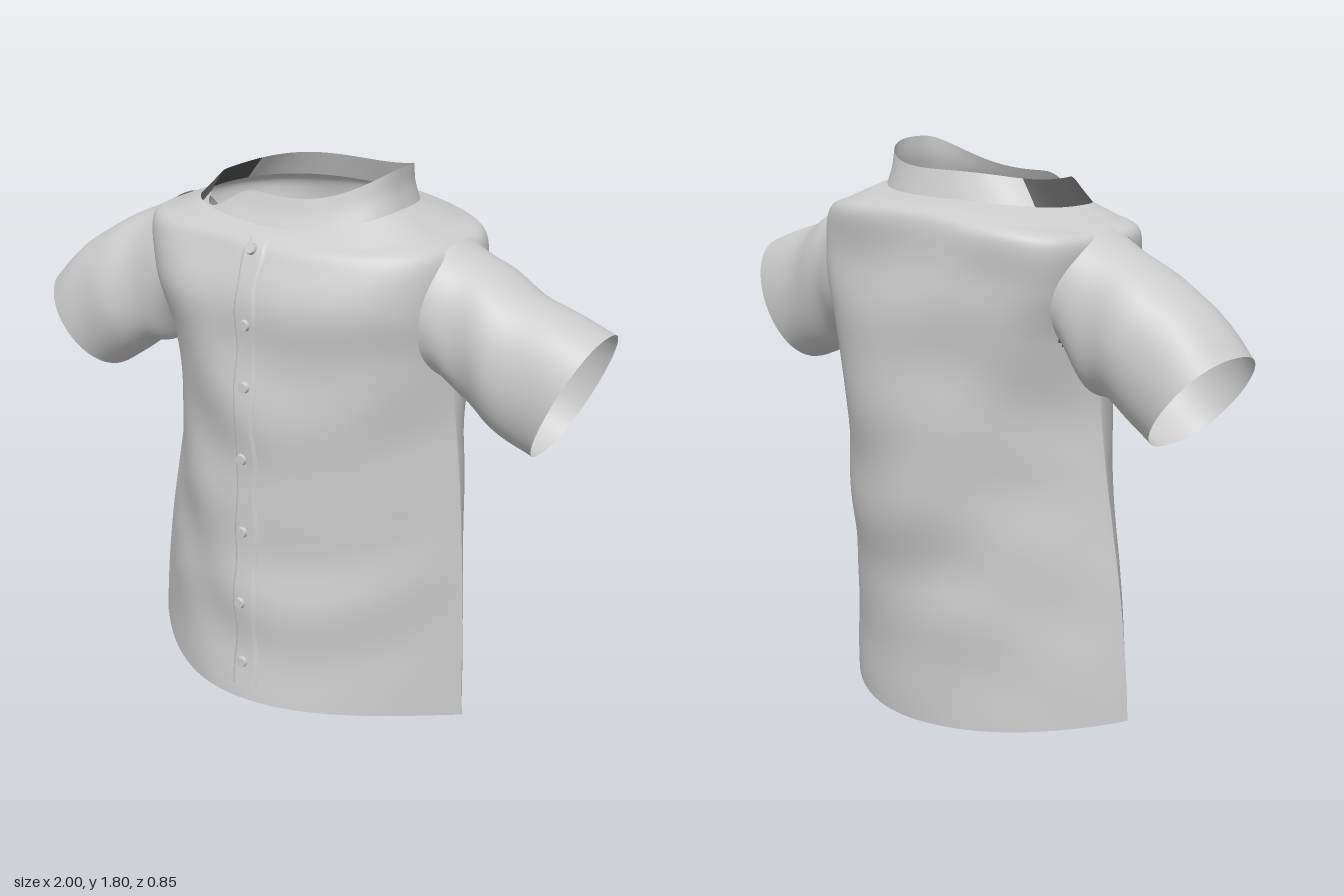
import * as THREE from 'three';

const cloth = new THREE.MeshStandardMaterial({ color: 0xcccccc, side: THREE.DoubleSide });
cloth.name = 'light grey cloth';
const lining = new THREE.MeshStandardMaterial({ color: 0x505050, side: THREE.DoubleSide });
lining.name = 'dark grey lining';

const TAU = Math.PI * 2;

// Smooth interpolation through the rows of a small table, t from 0 to 1
function sample(rows, t) {
  const f = Math.min(Math.max(t, 0), 1) * (rows.length - 1);
  const i = Math.min(Math.floor(f), rows.length - 2), k = f - i;
  const row = (j) => rows[Math.min(Math.max(j, 0), rows.length - 1)];
  return rows[0].map((_, c) => {
    const p0 = row(i - 1)[c], p1 = row(i)[c], p2 = row(i + 1)[c], p3 = row(i + 2)[c];
    return p1 + 0.5 * k * (p2 - p0 + k * (2 * p0 - 5 * p1 + 4 * p2 - p3 + k * (3 * (p1 - p2) + p3 - p0)));
  });
}

// Grid surface from fn(u, v) -> [x, y, z]; cells whose centre passes skip() are left open
function surface(name, material, fn, nu, nv, skip = () => false) {
  const pos = [], index = [];
  for (let j = 0; j <= nv; j++) for (let i = 0; i <= nu; i++) pos.push(...fn(i / nu, j / nv));
  for (let j = 0; j < nv; j++) {
    for (let i = 0; i < nu; i++) {
      if (skip(...fn((i + 0.5) / nu, (j + 0.5) / nv))) continue;
      const a = j * (nu + 1) + i, b = a + 1, c = a + nu + 1, d = c + 1;
      index.push(a, c, b, b, c, d);
    }
  }
  const g = new THREE.BufferGeometry();
  g.setAttribute('position', new THREE.Float32BufferAttribute(pos, 3));
  g.setIndex(index);
  g.computeVertexNormals();
  const mesh = new THREE.Mesh(g, material);
  mesh.name = name;
  return mesh;
}

// Body rings: y front, y left, y right, y back, left width, right width,
// z front, z back, fullness front, fullness back (1 = pointed lens, 2 = ellipse, more = boxy)
const BODY = [
  [0.09, 0.03, 0.06, 0.00, 0.58, 0.63, 0.42, -0.355, 0.95, 1.15],
  [0.28, 0.24, 0.26, 0.22, 0.575, 0.615, 0.405, -0.36, 0.95, 1.15],
  [0.47, 0.45, 0.46, 0.44, 0.57, 0.59, 0.40, -0.37, 0.97, 1.15],
  [0.66, 0.65, 0.66, 0.65, 0.56, 0.555, 0.395, -0.39, 1.0, 1.2],
  [0.86, 0.86, 0.86, 0.86, 0.545, 0.52, 0.395, -0.415, 1.1, 1.3],
  [1.06, 1.06, 1.06, 1.06, 0.525, 0.495, 0.39, -0.415, 1.3, 1.6],
  [1.26, 1.26, 1.26, 1.26, 0.51, 0.50, 0.39, -0.40, 1.9, 2.7],
  [1.43, 1.42, 1.42, 1.44, 0.515, 0.535, 0.38, -0.38, 2.5, 4.0],
  [1.56, 1.57, 1.56, 1.59, 0.51, 0.555, 0.33, -0.365, 2.5, 4.3],
  [1.60, 1.62, 1.60, 1.64, 0.43, 0.48, 0.29, -0.325, 2.4, 3.6],
  [1.62, 1.68, 1.64, 1.66, 0.33, 0.385, 0.245, -0.25, 2.5, 2.5],
];
const SEAM_Z = 0.025;

function ringPoint([yF, yL, yR, yB, wL, wR, zF, zB, rF, rB], a) {
  const c = Math.cos(a), s = Math.sin(a);
  const yS = yR + (yL - yR) * (c + 1) / 2;
  const depth = Math.abs(s) ** (2 / (s > 0 ? rF : rB));
  return [
    c * (c > 0 ? wL : wR),
    yS + ((s > 0 ? yF : yB) - yS) * s * s,
    SEAM_Z + depth * ((s > 0 ? zF : zB) - SEAM_Z),
  ];
}

// Soft cloth folds
const folds = (x, y) => 0.007 * Math.sin(11 * y + 3 * Math.sin(4 * x + 1) + 2 * x)
  + 0.005 * Math.sin(19 * y - 7 * x + 2 * Math.sin(5 * x));

function bodyPoint(a, v) {
  const [x, y, z] = ringPoint(sample(BODY, v), a);
  const s = Math.sin(a);
  const fade = Math.min(1, (1 - v) * 5) * Math.min(1, v * 4 + 0.2);
  return [x, y, z + s * fade * folds(x, y + (s < 0 ? 0.4 : 0))];
}

// Body v parameter at the front centre for a given height
function frontV(y) {
  let lo = 0, hi = 1;
  for (let i = 0; i < 30; i++) {
    const m = (lo + hi) / 2;
    if (bodyPoint(Math.PI / 2, m)[1] < y) lo = m; else hi = m;
  }
  return lo;
}

// Strip running down the front centre, set off from the cloth
function frontStrip(name, material, y0, y1, half, offset) {
  const v0 = frontV(y0), v1 = frontV(y1);
  return surface(name, material, (s, t) => {
    const width = half + 0.003 * Math.sin(t * 45);
    const [x, y, z] = bodyPoint(Math.PI / 2 + (0.5 - s) * 2 * width / 0.54, v0 + (v1 - v0) * t);
    return [x, y, z + offset * (s === 0 || s === 1 ? 0.1 : 1)];
  }, 12, 80);
}

// Sleeve rings: top x, top y, underarm x, underarm y, z back, z front
const SLEEVES = {
  leftSleeve: [
    [0.50, 1.60, 0.50, 1.19, -0.20, 0.18], [0.62, 1.545, 0.56, 1.15, -0.19, 0.17],
    [0.79, 1.475, 0.66, 1.07, -0.17, 0.18], [1.0, 1.40, 0.81, 1.0, -0.17, 0.175],
  ],
  rightSleeve: [
    [-0.53, 1.59, -0.49, 1.22, -0.20, 0.17], [-0.68, 1.51, -0.54, 1.11, -0.18, 0.18],
    [-0.85, 1.415, -0.63, 1.07, -0.165, 0.21], [-1.0, 1.27, -0.765, 0.975, -0.15, 0.21],
  ],
};

function sleevePoint(rows, u, v) {
  const [tx, ty, bx, by, z0, z1] = sample(rows, v);
  const a = u * TAU, c = -Math.cos(a), s = Math.sin(a), side = Math.sign(tx);
  const inset = (s > 0 ? 0.045 : 0.015) * s * s * (1 - v) ** 4;
  const fold = 0.005 * Math.sin(v * Math.PI) * Math.sin(v * 13 + c * 3);
  return [
    (tx + bx) / 2 + c * (tx - bx) / 2 - side * inset,
    (ty + by) / 2 + c * ((ty - by) / 2 + fold),
    (z0 + z1) / 2 + Math.sign(s) * Math.abs(s) ** 0.85 * ((z1 - z0) / 2 + fold),
  ];
}

// Standing collar: base ring equals the neck, and it sags at the front right
const COLLAR = [
  BODY[BODY.length - 1],
  [1.66, 1.74, 1.675, 1.70, 0.315, 0.35, 0.22, -0.235, 2.5, 2.5],
  [1.705, 1.80, 1.715, 1.74, 0.315, 0.31, 0.20, -0.22, 2.5, 2.5],
];
function collarPart(name, material, u0, u1, n) {
  return surface(name, material, (s, t) => {
    const u = u0 + (u1 - u0) * s;
    const sag = 1 - 0.92 * Math.exp(-(((u - 0.375) / 0.042) ** 2));
    return ringPoint(sample(COLLAR, t * sag), u * TAU);
  }, n, 10);
}

export function createModel() {
  const shirt = new THREE.Group();
  shirt.name = 'shirt';

  // Body with open armholes; columns gather towards the sides
  shirt.add(surface('body', cloth,
    (u, v) => bodyPoint(TAU * u - 0.38 * Math.sin(2 * TAU * u), v), 220, 140,
    (x, y, z) => Math.abs(x) > 0.35 && ((y - 1.39) / 0.19) ** 2 + ((z + 0.01) / 0.175) ** 2 < 1));

  for (const [name, rows] of Object.entries(SLEEVES)) {
    shirt.add(surface(name, cloth, (u, v) => sleevePoint(rows, u, v), 56, 36));
  }

  // Collar, with the turned section on the right in lining
  shirt.add(collarPart('collar', cloth, -0.43, 0.405, 120));
  shirt.add(collarPart('collarLining', lining, 0.405, 0.57, 30));

  // Button placket and its inner facing
  shirt.add(frontStrip('placket', cloth, 0.14, 1.6, 0.04, 0.008));
  shirt.add(frontStrip('placketFacing', lining, 0.17, 1.55, 0.035, -0.012));

  // Buttons
  const buttonShape = new THREE.CylinderGeometry(0.016, 0.019, 0.014, 20).rotateX(Math.PI / 2);
  for (const y of [0.22, 0.435, 0.675, 0.92, 1.16, 1.355, 1.575]) {
    const [, , z] = bodyPoint(Math.PI / 2, frontV(y));
    const button = new THREE.Mesh(buttonShape, cloth);
    button.name = 'button';
    button.position.set(y > 1 && y < 1.4 ? 0.005 : -0.01, y, z + 0.012);
    if (y > 1.5) button.rotation.x = -0.5;
    shirt.add(button);
  }
  return shirt;
}
